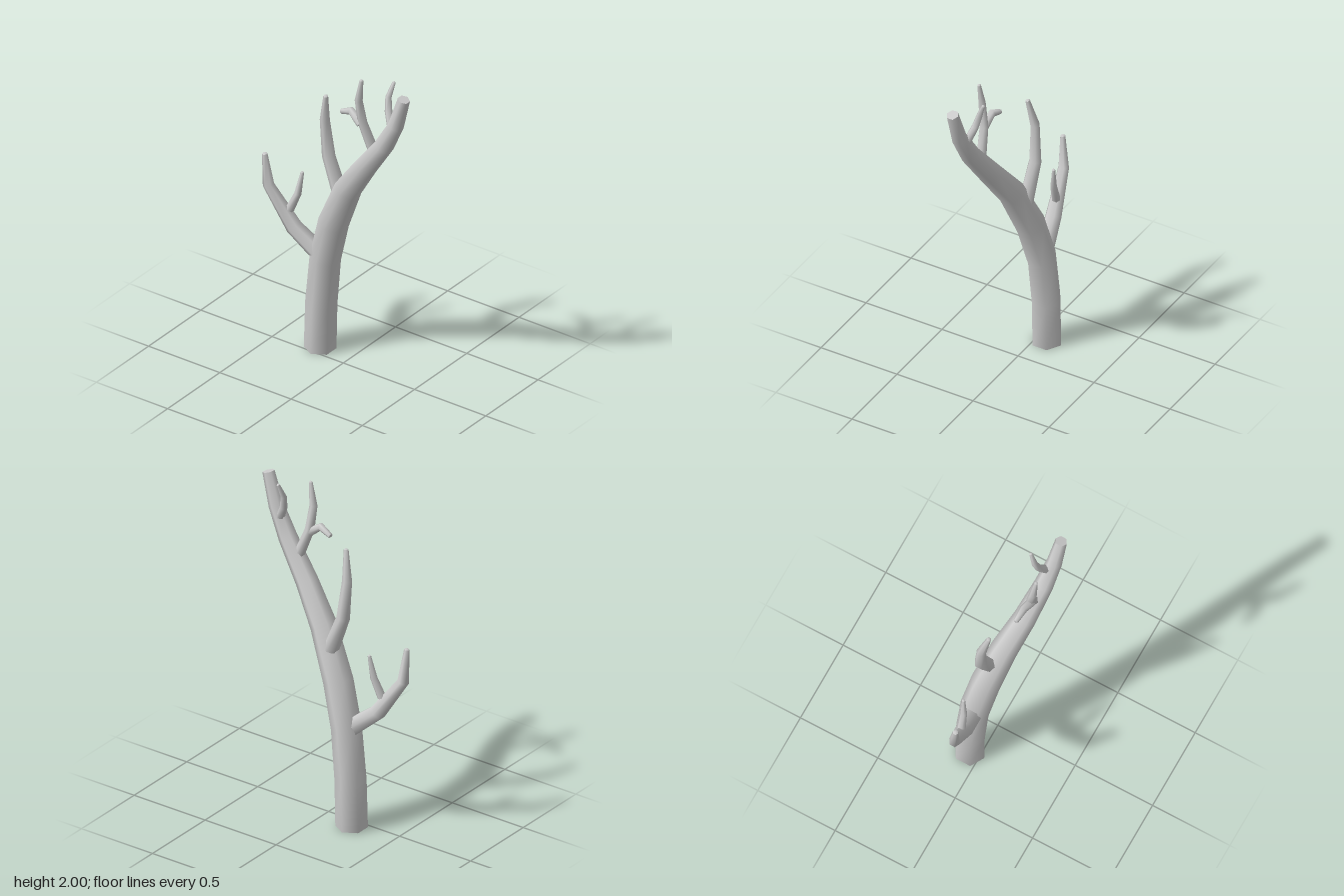
import * as THREE from 'three';

const SIDES = 6;
const material = new THREE.MeshStandardMaterial({ color: 0xcccccc, side: THREE.DoubleSide });

// Tapered six-sided limb through points [x, y, z, radius], smooth along its
// length, closed at both ends; tip is how far the end cap bulges out.
function limb(name, points, tip = 0) {
  const centres = points.map(([x, y, z]) => new THREE.Vector3(x, y, z));
  const last = centres.length - 1;
  const pos = [], index = [];
  const step = (i) => centres[i + 1].clone().sub(centres[i]).normalize();
  const tangents = centres.map((c, i) =>
    step(Math.max(i - 1, 0)).add(step(Math.min(i, last - 1))).normalize());
  if (name === 'trunk') tangents[0].set(0, 1, 0);

  // One ring of corners per point, with a corner towards the front
  centres.forEach((c, i) => {
    const t = tangents[i];
    const u = new THREE.Vector3(0, 0, 1).addScaledVector(t, -t.z).normalize();
    const v = new THREE.Vector3().crossVectors(t, u);
    for (let k = 0; k < SIDES; k++) {
      const a = (k / SIDES) * Math.PI * 2;
      const p = c.clone()
        .addScaledVector(u, Math.cos(a) * points[i][3])
        .addScaledVector(v, Math.sin(a) * points[i][3]);
      pos.push(p.x, p.y, p.z);
    }
  });
  for (let i = 0; i < last; i++) {
    for (let k = 0; k < SIDES; k++) {
      const a = i * SIDES + k, b = i * SIDES + (k + 1) % SIDES;
      index.push(a, b, b + SIDES, a, b + SIDES, a + SIDES);
    }
  }

  // End caps get their own corners so the rims stay sharp
  const addCap = (ring, bulge, flip) => {
    const start = pos.length / 3;
    pos.push(...pos.slice(ring * SIDES * 3, (ring + 1) * SIDES * 3));
    const apex = centres[ring].clone().addScaledVector(tangents[ring], bulge);
    pos.push(apex.x, apex.y, apex.z);
    for (let k = 0; k < SIDES; k++) {
      const a = start + k, b = start + (k + 1) % SIDES;
      index.push(...(flip ? [b, a] : [a, b]), start + SIDES);
    }
  };
  addCap(0, 0, true);
  addCap(last, tip, false);

  const geometry = new THREE.BufferGeometry();
  geometry.setAttribute('position', new THREE.Float32BufferAttribute(pos, 3));
  geometry.setIndex(index);
  geometry.computeVertexNormals();
  const mesh = new THREE.Mesh(geometry, material);
  mesh.name = name;
  return mesh;
}

export function createModel() {
  const group = new THREE.Group();
  group.name = 'bareBranch';

  // Main stem, leaning to the left and forward as it rises
  group.add(limb('trunk', [
    [-0.21, 0, -0.065, 0.093],
    [-0.202, 0.3, -0.065, 0.092],
    [-0.168, 0.61, -0.057, 0.09],
    [-0.09, 0.88, -0.03, 0.089],
    [0.045, 1.17, 0.015, 0.08],
    [0.2, 1.385, 0.065, 0.068],
    [0.36, 1.6, 0.1, 0.057],
    [0.455, 1.77, 0.117, 0.046],
    [0.517, 1.967, 0.125, 0.036],
  ]));

  // Low side branch with its twig
  group.add(limb('lowerBranch', [
    [-0.21, 0.635, -0.05, 0.057],
    [-0.36, 0.76, -0.02, 0.05],
    [-0.52, 0.995, 0.007, 0.034],
    [-0.535, 1.2, 0.022, 0.016],
  ], 0.01));
  group.add(limb('lowerTwig', [
    [-0.39, 0.865, -0.02, 0.026],
    [-0.342, 0.98, -0.032, 0.021],
    [-0.32, 1.12, -0.045, 0.01],
  ], 0.008));

  // Middle branch
  group.add(limb('middleBranch', [
    [-0.04, 1.07, -0.03, 0.046],
    [-0.13, 1.3, -0.037, 0.039],
    [-0.148, 1.535, -0.025, 0.029],
    [-0.118, 1.715, 0.007, 0.014],
  ], 0.01));

  // Upper branch with its drooping twig
  group.add(limb('upperBranch', [
    [0.275, 1.515, 0.08, 0.032],
    [0.208, 1.7, 0.1, 0.028],
    [0.196, 1.85, 0.12, 0.023],
    [0.22, 1.99, 0.126, 0.011],
  ], 0.01));
  group.add(limb('upperTwig', [
    [0.2, 1.69, 0.104, 0.028],
    [0.125, 1.745, 0.096, 0.024],
    [0.052, 1.713, 0.088, 0.015],
  ], 0.008));

  // Small branch near the top
  group.add(limb('topBranch', [
    [0.41, 1.72, 0.095, 0.025],
    [0.365, 1.81, 0.065, 0.022],
    [0.35, 1.89, 0.045, 0.018],
    [0.365, 1.975, 0.012, 0.01],
  ], 0.008));

  return group;
}
